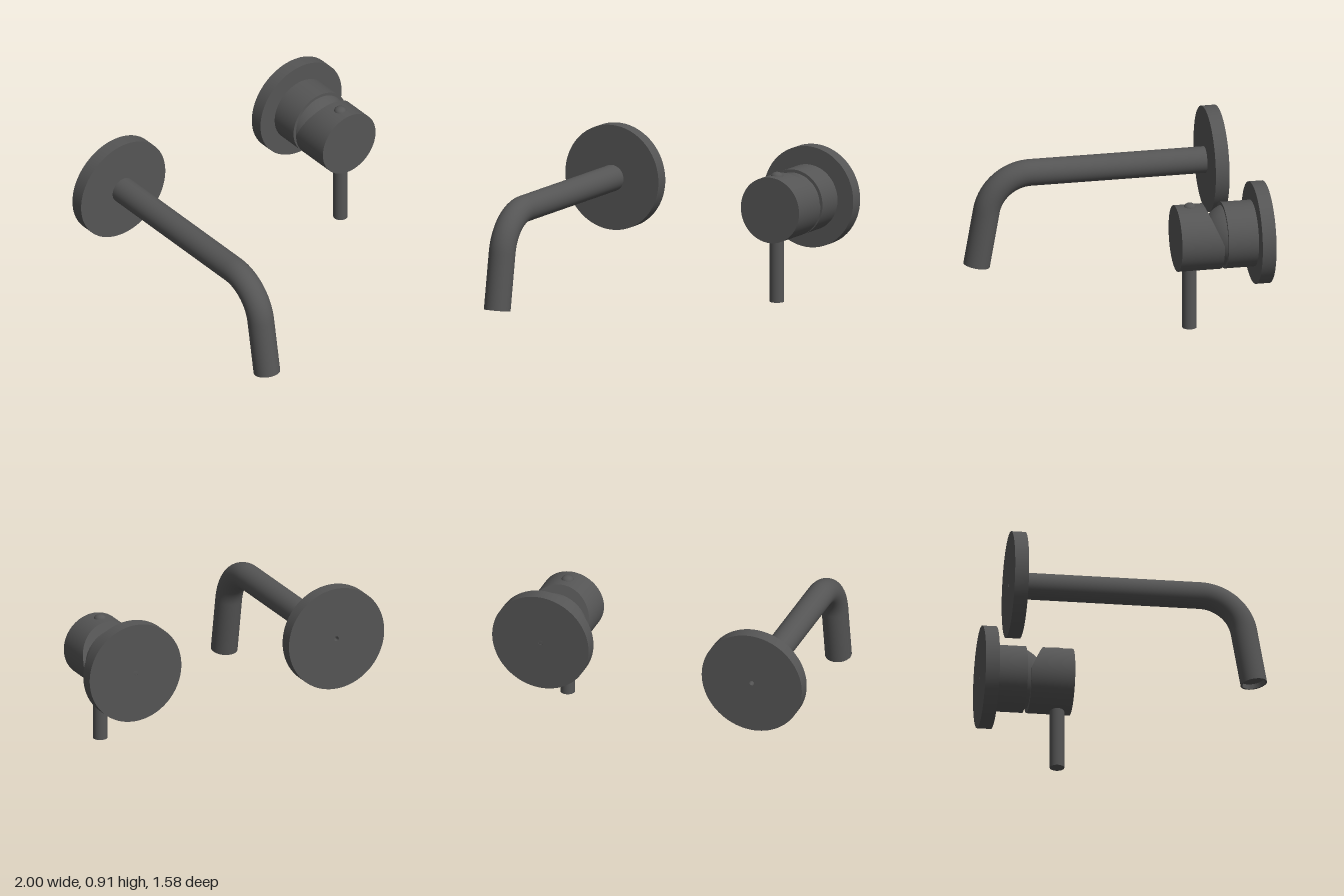
import * as THREE from 'three';
import { toCreasedNormals } from 'three/addons/utils/BufferGeometryUtils.js';

const SPOUT_X = -0.677, SPOUT_Y = 0.586, SPOUT_R = 0.081;
const VALVE_X = 0.687, VALVE_Y = 0.603;
const BACK_Z = -0.785, PLATE_T = 0.085;

const metal = new THREE.MeshStandardMaterial({ color: 0x555555 });
metal.name = 'dark gunmetal';

function part(name, geometry, x = 0, y = 0, z = 0) {
  const mesh = new THREE.Mesh(geometry, metal);
  mesh.name = name;
  mesh.position.set(x, y, z);
  return mesh;
}

// Sharp-edged turned shape about the y axis, profile given bottom to top
function turned(profile, segments = 72) {
  const points = profile.map(([r, h]) => new THREE.Vector2(r, h));
  return toCreasedNormals(new THREE.LatheGeometry(points, segments), 0.6);
}

// Wall plate with a small blind screw hole in the back
function wallPlate(name, radius, x, y) {
  const geo = turned([
    [0, 0.04], [0.015, 0.04], [0.015, 0], [radius, 0], [radius, PLATE_T], [0, PLATE_T],
  ], 96);
  geo.rotateX(Math.PI / 2);
  return part(name, geo, x, y, BACK_Z);
}

function createSpout() {
  const group = new THREE.Group();
  group.name = 'spout';
  group.add(wallPlate('spoutWallPlate', 0.323, SPOUT_X, 0.59));

  // Straight pipe, 80 degree bend, then a straight drop
  const bend = THREE.MathUtils.degToRad(80), R = 0.275;
  const k = (4 / 3) * Math.tan(bend / 4) * R;
  const dir = new THREE.Vector3(0, -Math.sin(bend), Math.cos(bend));
  const at = (y, z) => new THREE.Vector3(SPOUT_X, y, z);
  const start = at(SPOUT_Y, BACK_Z + 0.05);
  const a = at(SPOUT_Y, 0.379);
  const b = at(SPOUT_Y - R * (1 - Math.cos(bend)), 0.379 + R * Math.sin(bend));
  const end = b.clone().addScaledVector(dir, (b.y - 0.016) / Math.sin(bend));
  const path = new THREE.CurvePath();
  path.add(new THREE.LineCurve3(start, a));
  path.add(new THREE.CubicBezierCurve3(
    a, at(SPOUT_Y, a.z + k), b.clone().addScaledVector(dir, -k), b));
  path.add(new THREE.LineCurve3(b, end));
  group.add(part('spoutPipe', new THREE.TubeGeometry(path, 120, SPOUT_R, 48)));

  // Outlet rim and recessed aerator face
  const outlet = part('spoutOutlet',
    turned([[SPOUT_R, 0], [0.07, 0], [0.07, -0.03], [0, -0.03]], 48), end.x, end.y, end.z);
  outlet.quaternion.setFromUnitVectors(new THREE.Vector3(0, 1, 0), dir);
  group.add(outlet);
  return group;
}

function createMixer() {
  const group = new THREE.Group();
  group.name = 'mixer';
  group.add(wallPlate('mixerWallPlate', 0.311, VALVE_X, VALVE_Y + 0.002));

  // Fixed body and the ball joint
  const body = new THREE.CylinderGeometry(0.202, 0.202, 0.2, 96);
  body.rotateX(Math.PI / 2);
  group.add(part('mixerBody', body, VALVE_X, VALVE_Y, -0.615));
  group.add(part('ballJoint', new THREE.SphereGeometry(0.197, 64, 40), VALVE_X, VALVE_Y, -0.587));

  // Handle drum: upper half of its back face is cut at a slant
  const front = -0.227, back = -0.49;
  const drum = new THREE.CylinderGeometry(0.202, 0.202, front - back, 96);
  drum.rotateX(Math.PI / 2);
  drum.translate(0, 0, (front + back) / 2);
  const pos = drum.attributes.position;
  for (let i = 0; i < pos.count; i++) {
    if (pos.getZ(i) < (front + back) / 2) {
      pos.setZ(i, back + Math.max(0, pos.getY(i)) * 0.44);
    }
  }
  group.add(part('handleDrum', toCreasedNormals(drum, 0.35), VALVE_X, VALVE_Y, 0));

  // Lever pin below and domed cap on top
  group.add(part('handleLever',
    new THREE.CylinderGeometry(0.044, 0.044, 0.42, 40), VALVE_X, 0.237, -0.313));
  const cap = new THREE.SphereGeometry(0.038, 32, 12, 0, Math.PI * 2, 0, Math.PI / 2);
  cap.scale(1, 0.75, 1);
  group.add(part('handleCap', cap, VALVE_X, 0.797, -0.315));
  return group;
}

export function createModel() {
  const model = new THREE.Group();
  model.name = 'wallMountedTap';
  model.add(createSpout(), createMixer());
  return model;
}
